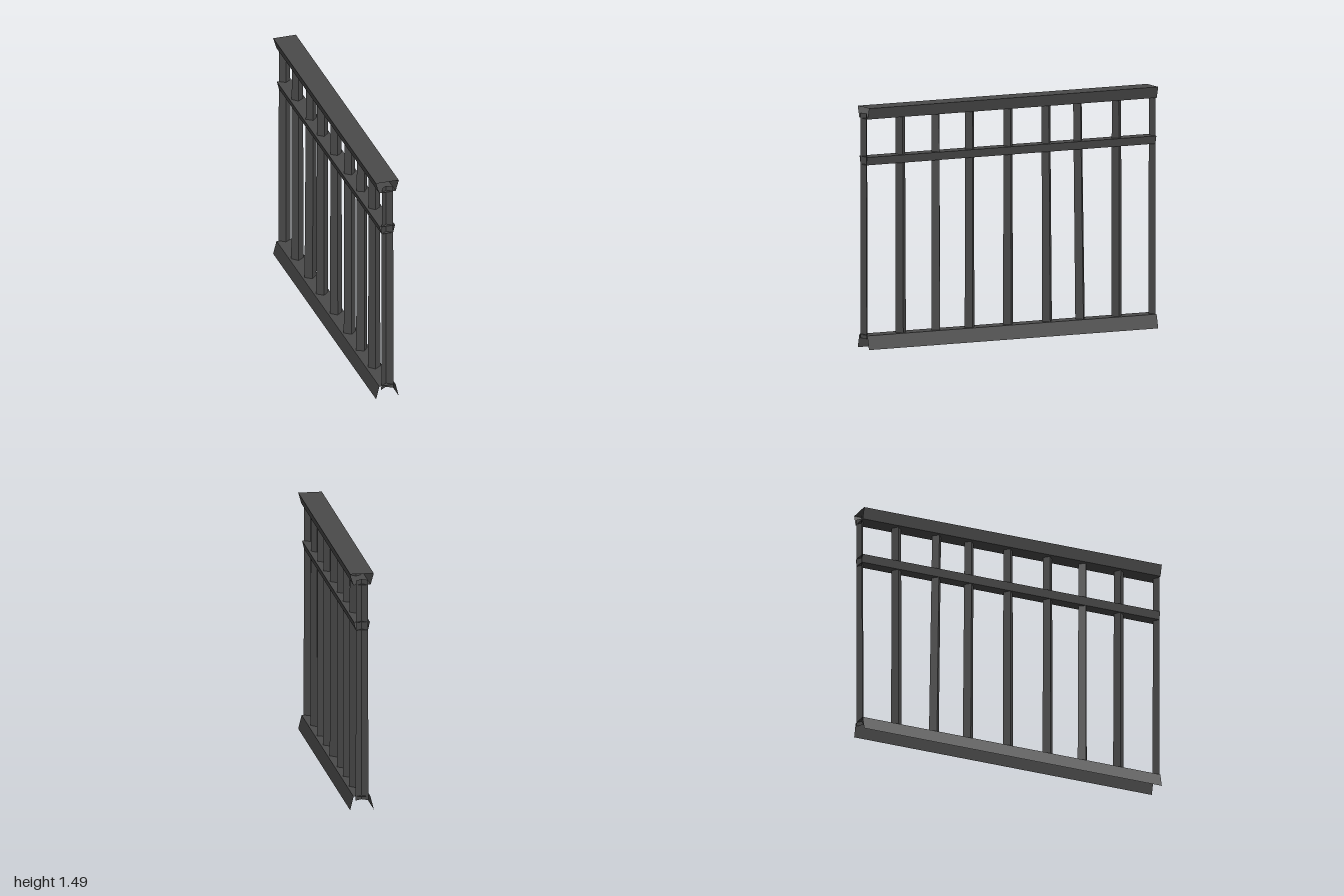
import * as THREE from 'three';

const iron = new THREE.MeshStandardMaterial({ color: 0x4a4a4a, side: THREE.DoubleSide });
iron.name = 'darkIron';

// Faceted mesh: every face keeps its own normal
function facetedMesh(name, geometry) {
  const flat = geometry.toNonIndexed();
  flat.computeVertexNormals();
  const mesh = new THREE.Mesh(flat, iron);
  mesh.name = name;
  return mesh;
}

// Open-ended rail: a cross-section outline [x, y] swept from z = 1 to z = -1
function rail(name, outline, closed) {
  const positions = [];
  const index = [];
  outline.forEach(([x, y]) => positions.push(x, y, 1, x, y, -1));
  const count = closed ? outline.length : outline.length - 1;
  for (let i = 0; i < count; i++) {
    const a = i * 2;
    const b = ((i + 1) % outline.length) * 2;
    index.push(a, a + 1, b, b, a + 1, b + 1);
  }
  const geometry = new THREE.BufferGeometry();
  geometry.setAttribute('position', new THREE.Float32BufferAttribute(positions, 3));
  geometry.setIndex(index);
  return facetedMesh(name, geometry);
}

const POST_BOTTOM = 0.06;
const POST_TOP = 1.45;
const POST_HEIGHT = POST_TOP - POST_BOTTOM;

// Diamond-section post, slightly thinner at the top
function post(name, z, twist = 0, lean = 0) {
  const geometry = new THREE.CylinderGeometry(0.035, 0.039, POST_HEIGHT, 4);
  geometry.scale(1, 1, 0.88);
  const mesh = facetedMesh(name, geometry);
  mesh.position.set(0, (POST_BOTTOM + POST_TOP) / 2, z);
  mesh.rotation.set(lean, twist, 0);
  return mesh;
}

// Half post at an end, ridge pointing inward and open toward the outside
function endPost(name, side) {
  const start = side > 0 ? Math.PI / 2 : -Math.PI / 2;
  const geometry = new THREE.CylinderGeometry(0.036, 0.04, POST_HEIGHT, 2, 1, true, start, Math.PI);
  geometry.scale(1, 1, 0.72);
  const mesh = facetedMesh(name, geometry);
  mesh.position.set(0, (POST_BOTTOM + POST_TOP) / 2, side);
  return mesh;
}

export function createModel() {
  const group = new THREE.Group();
  group.name = 'railing';

  // Handrail and middle rail: tubes that narrow downward
  group.add(rail('handrail', [[0.073, 1.49], [-0.073, 1.49], [-0.053, 1.42], [0.053, 1.42]].reverse(), true));
  group.add(rail('middleRail', [[0.049, 1.185], [-0.049, 1.185], [-0.037, 1.135], [0.037, 1.135]].reverse(), true));

  // Base rail: flared channel, open underneath
  group.add(rail('baseRail', [[-0.073, 0], [-0.052, 0.085], [0.052, 0.085], [0.073, 0]], false));

  // Inner posts, a little irregular: [z, twist, lean]
  const posts = [
    [0.743, -0.08, 0.002],
    [0.5, 0.2, 0.002],
    [0.266, 0.04, 0],
    [0, 0, 0],
    [-0.266, 0.04, 0.006],
    [-0.489, 0.08, 0.0135],
    [-0.75, -0.08, 0],
  ];
  posts.forEach(([z, twist, lean], i) => group.add(post('post' + (i + 1), z, twist, lean)));

  group.add(endPost('frontEndPost', 1), endPost('backEndPost', -1));
  return group;
}
